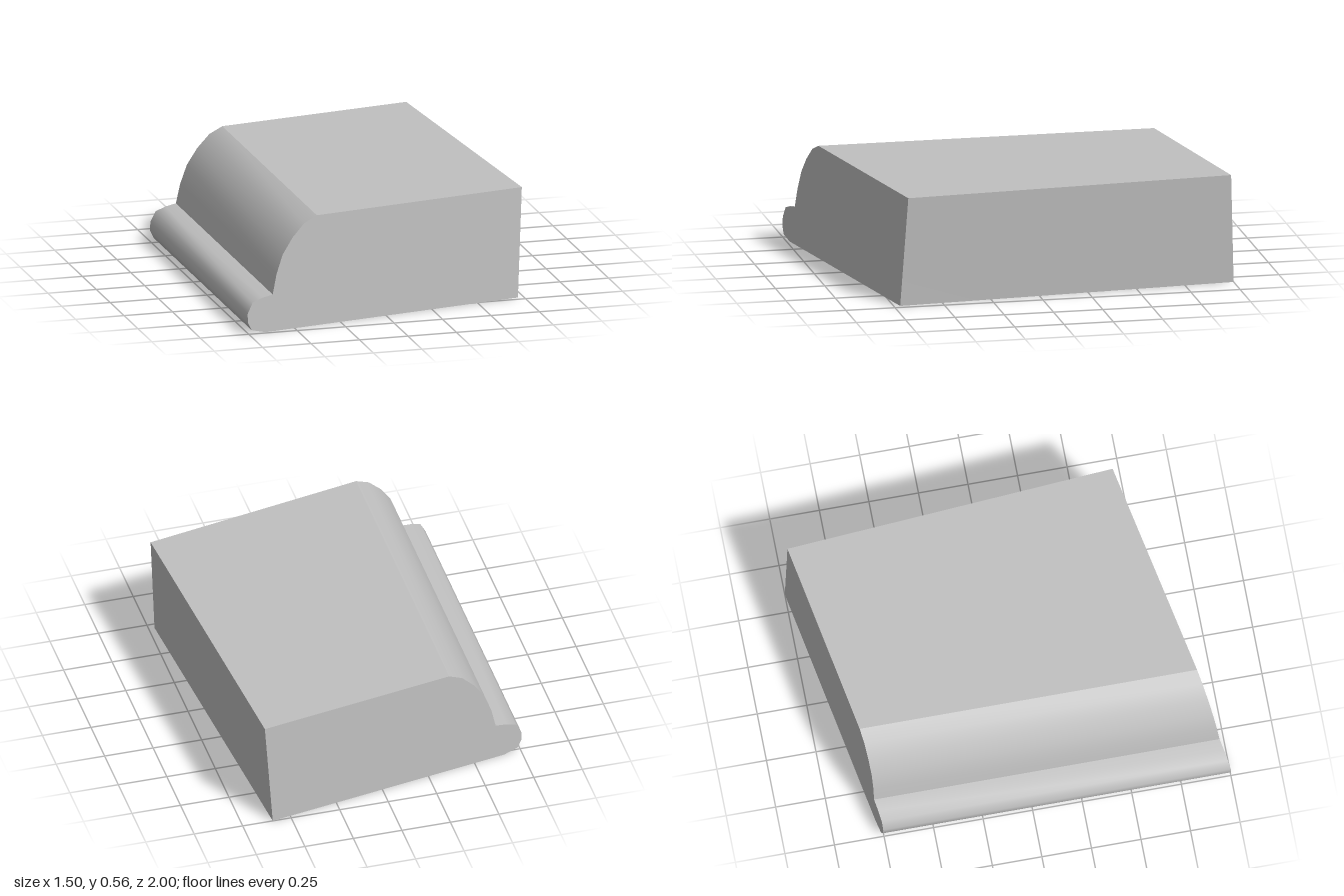
import * as THREE from 'three';

const grey = new THREE.MeshStandardMaterial({ color: 0xc0c0c0 });
grey.name = 'plain grey';

// Slanted planes that cut the moulding at each end, and the right corners there
const ends = {
  front: { z: (x, y) => 0.8575 - 0.194 * x - 0.052 * y, top: [0.75, 0.557], bottom: [0.72, 0] },
  back: { z: (x, y) => -0.894 - 0.178 * x + 0.047 * y, top: [0.63, 0.557], bottom: [0.595, 0] },
};

// Cross-section, clockwise, as smooth runs that meet at sharp edges
function runs({ top, bottom }) {
  const heel = [-0.66, 0], step = [-0.617, 0.186], brow = [-0.37, 0.557];
  return {
    roundedToe: [heel, [-0.735, 0.02], [-0.755, 0.06], [-0.755, 0.105], [-0.727, 0.158], [-0.675, 0.176], step],
    curvedShoulder: [step, [-0.595, 0.285], [-0.56, 0.38], [-0.505, 0.46], [-0.44, 0.525], brow],
    topFace: [brow, top],
    rightFace: [top, bottom],
    bottomFace: [bottom, heel],
  };
}

// Strip of quads between the front and back copies of one run
function strip(frontRun, backRun) {
  const pos = [], index = [];
  frontRun.forEach(([x, y], i) => {
    const [bx, by] = backRun[i];
    pos.push(x, y, ends.front.z(x, y), bx, by, ends.back.z(bx, by));
    if (i > 0) {
      const f0 = 2 * i - 2, b0 = f0 + 1, f1 = f0 + 2, b1 = f0 + 3;
      index.push(f0, f1, b1, f0, b1, b0);
    }
  });
  const g = new THREE.BufferGeometry();
  g.setAttribute('position', new THREE.Float32BufferAttribute(pos, 3));
  g.setIndex(index);
  g.computeVertexNormals();
  return g;
}

// Flat cap with the whole cross-section, laid onto its slanted plane
function cap(end, flip) {
  const outline = Object.values(runs(end)).flatMap((run) => run.slice(0, -1));
  const g = new THREE.ShapeGeometry(new THREE.Shape(outline.map(([x, y]) => new THREE.Vector2(x, y))));
  const p = g.attributes.position;
  for (let i = 0; i < p.count; i++) p.setZ(i, end.z(p.getX(i), p.getY(i)));
  if (flip) g.setIndex(Array.from(g.index.array).reverse());
  g.computeVertexNormals();
  return g;
}

export function createModel() {
  const group = new THREE.Group();
  group.name = 'mouldingBlock';
  const add = (name, geometry) => {
    const mesh = new THREE.Mesh(geometry, grey);
    mesh.name = name;
    group.add(mesh);
  };
  const front = runs(ends.front), back = runs(ends.back);
  for (const name of Object.keys(front)) add(name, strip(front[name], back[name]));
  add('frontEnd', cap(ends.front, false));
  add('backEnd', cap(ends.back, true));
  return group;
}
